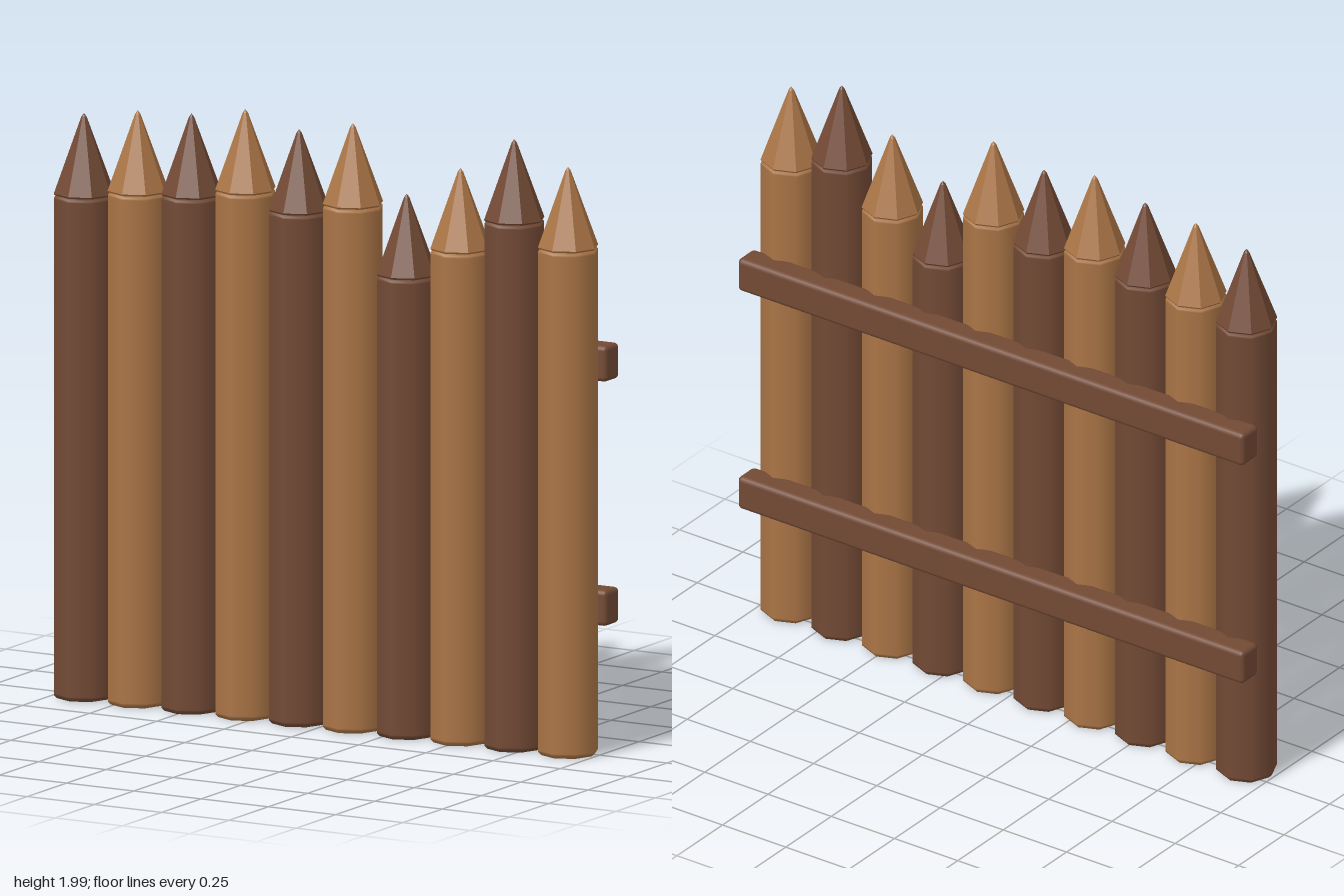
import * as THREE from 'three';
import { RoundedBoxGeometry } from 'three/addons/geometries/RoundedBoxGeometry.js';

const SIDES = 8;
const RADIUS = 0.1;
const TIP_HEIGHT = 0.265;
const POST_Z = 0.03;

// Height of each post's shoulder, from the model's right to its left
const SHOULDERS = [1.65, 1.68, 1.69, 1.725, 1.68, 1.72, 1.51, 1.615, 1.73, 1.66];

// Eight-sided solid turned from [radius, height] pairs, bottom to top
function turned(profile) {
  return new THREE.LatheGeometry(profile.map(([r, y]) => new THREE.Vector2(r, y)), SIDES);
}

export function createModel() {
  const darkWood = new THREE.MeshStandardMaterial({ name: 'dark wood', color: 0x734a35 });
  const lightWood = new THREE.MeshStandardMaterial({ name: 'light wood', color: 0xab7546 });
  const fence = new THREE.Group();
  fence.name = 'palisadeFence';

  const add = (parent, name, geometry, material, x, y, z) => {
    const mesh = new THREE.Mesh(geometry, material);
    mesh.name = name;
    mesh.position.set(x, y, z);
    parent.add(mesh);
  };

  // Sharpened tip with a slightly blunted point, shared by all posts
  const tipGeometry = turned([
    [0, 0], [RADIUS - 0.004, 0], [RADIUS, 0.006],
    [0.009, TIP_HEIGHT - 0.012], [0, TIP_HEIGHT],
  ]).toNonIndexed();
  tipGeometry.computeVertexNormals();

  // Posts in alternating wood
  SHOULDERS.forEach((height, i) => {
    const wood = i % 2 ? lightWood : darkWood;
    const post = new THREE.Group();
    post.name = `post${i + 1}`;
    post.position.set(-0.9 + i * 0.2, 0, POST_Z);

    // Shaft with small bevels at the foot and shoulder
    const r = RADIUS - 0.001;
    const shaft = turned([
      [0, 0], [r - 0.014, 0], [r - 0.01, 0], [r, 0.01], [r, 0.016],
      [r, height - 0.016], [r, height - 0.01], [r - 0.01, height], [0, height],
    ]);
    add(post, 'shaft', shaft, wood, 0, 0, 0);
    add(post, 'tip', tipGeometry, wood, 0, height - 0.003, 0);
    fence.add(post);
  });

  // Two cross rails along the back
  const railGeometry = new RoundedBoxGeometry(2, 0.118, 0.09, 2, 0.016);
  add(fence, 'lowerRail', railGeometry, darkWood, 0, 0.471, -0.085);
  add(fence, 'upperRail', railGeometry, darkWood, 0, 1.271, -0.085);

  return fence;
}
